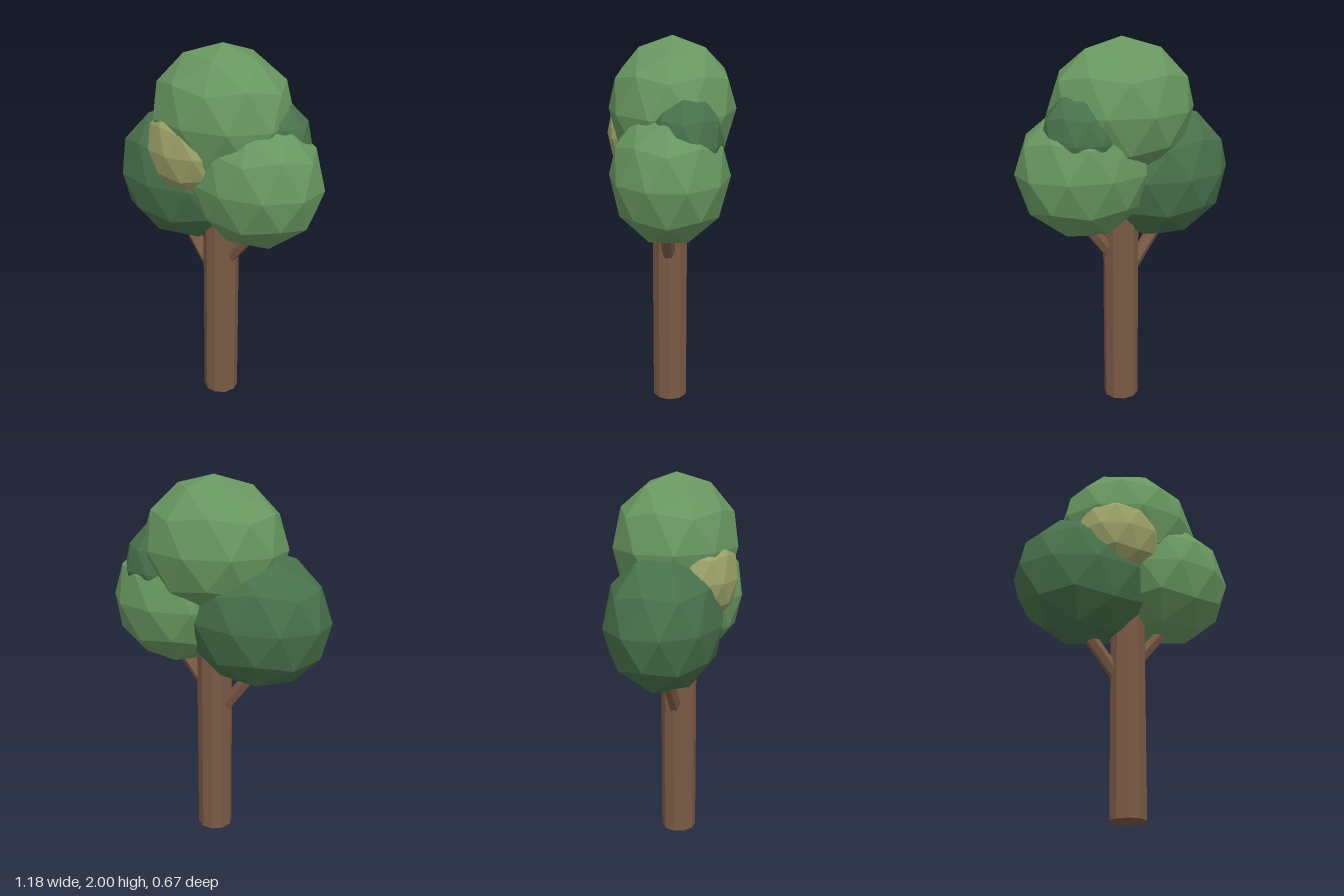
import * as THREE from 'three';

const mat = (name, color) => {
  const m = new THREE.MeshStandardMaterial({ color });
  m.name = name;
  return m;
};

export function createModel() {
  const tree = new THREE.Group();
  tree.name = 'tree';

  const bark = mat('bark brown', 0x7b5a45);
  const leaf = mat('leaf green', 0x689760);
  const dark = mat('dark green', 0x48714b);
  const olive = mat('olive yellow', 0x9ca268);

  // Faceted mesh: unshared corners give one normal per face
  function add(name, geometry, material) {
    const g = geometry.index ? geometry.toNonIndexed() : geometry;
    g.computeVertexNormals();
    const mesh = new THREE.Mesh(g, material);
    mesh.name = name;
    tree.add(mesh);
    return mesh;
  }

  // Squashed icosphere with a corner pointing straight up
  const tilt = -Math.atan(1 / ((1 + Math.sqrt(5)) / 2));
  function foliage(name, material, center, radii) {
    const g = new THREE.IcosahedronGeometry(1, 1);
    g.rotateZ(tilt).scale(...radii).translate(...center);
    add(name, g, material);
  }

  // Straight limb between two points
  function branch(name, from, to, radius) {
    const a = new THREE.Vector3(...from);
    const b = new THREE.Vector3(...to);
    const mesh = add(name, new THREE.CylinderGeometry(radius, radius, a.distanceTo(b), 6), bark);
    mesh.position.copy(a).lerp(b, 0.5);
    mesh.quaternion.setFromUnitVectors(new THREE.Vector3(0, 1, 0), b.sub(a).normalize());
  }

  // Trunk and limbs
  const trunk = new THREE.CylinderGeometry(0.096, 0.096, 1.3, 10, 1, false, Math.PI / 10);
  add('trunk', trunk.translate(0.028, 0.65, 0), bark);
  branch('rightBranch', [0.02, 0.68, 0], [-0.26, 1.06, 0], 0.036);
  branch('leftBranch', [0.04, 0.8, 0.005], [0.3, 1.13, 0.005], 0.036);

  // Crown
  foliage('topFoliage', leaf, [0.025, 1.638, -0.012], [0.394, 0.362, 0.327]);
  foliage('rightFoliage', dark, [-0.22, 1.286, 0], [0.394, 0.368, 0.3]);
  foliage('leftFoliage', leaf, [0.24, 1.339, -0.008], [0.368, 0.355, 0.303]);
  foliage('frontTuft', olive, [-0.06, 1.49, 0.135], [0.25, 0.25, 0.2]);
  foliage('backTuft', dark, [0.275, 1.515, -0.075], [0.225, 0.25, 0.2]);

  return tree;
}
